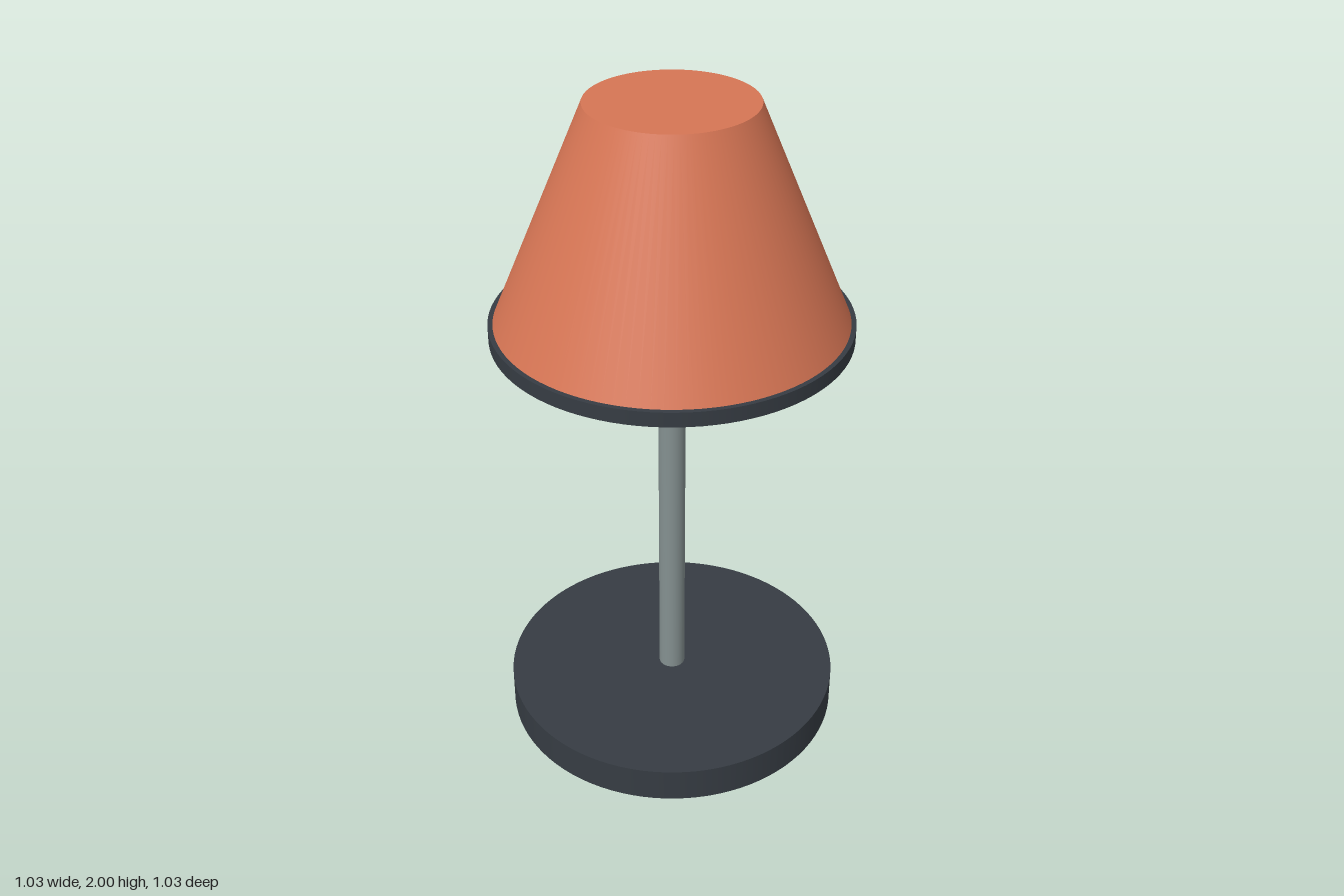
import * as THREE from 'three';

export function createModel() {
  const lamp = new THREE.Group();
  lamp.name = 'tableLamp';

  const material = (name, color) => {
    const m = new THREE.MeshStandardMaterial({ color });
    m.name = name;
    return m;
  };
  const charcoal = material('charcoal', 0x363c43);
  const steel = material('steelGrey', 0x849090);
  const terracotta = material('terracotta', 0xd67554);
  const cream = material('warmCream', 0xe3c88f);

  const add = (name, geometry, mat, y) => {
    const mesh = new THREE.Mesh(geometry, mat);
    mesh.name = name;
    mesh.position.y = y;
    lamp.add(mesh);
  };
  // Closed round part spanning y0 to y1
  const round = (name, mat, rBottom, rTop, y0, y1) =>
    add(name, new THREE.CylinderGeometry(rTop, rBottom, y1 - y0, 96), mat, (y0 + y1) / 2);

  // Foot and stem
  round('base', charcoal, 0.513, 0.513, 0, 0.108);
  round('stem', steel, 0.04, 0.04, 0.108, 1.25);

  // Bulb sits half inside the shade
  add('bulb', new THREE.SphereGeometry(0.11, 48, 32), cream, 1.306);

  // Rim disc closes the underside of the shade
  round('shadeRim', charcoal, 0.517, 0.517, 1.323, 1.367);
  round('shade', terracotta, 0.503, 0.237, 1.367, 2);

  return lamp;
}
